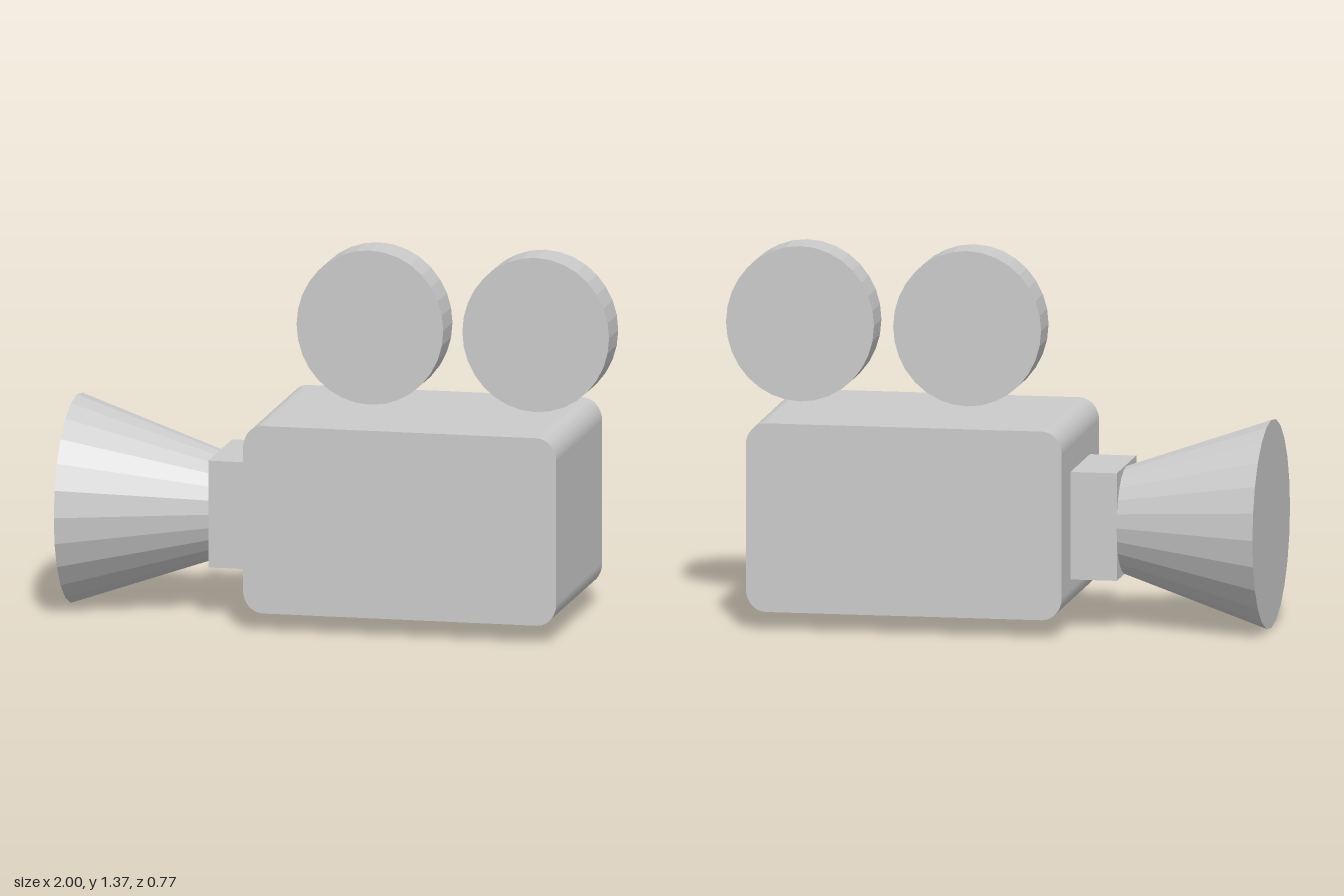
import * as THREE from 'three';

export function createModel() {
  const group = new THREE.Group();
  const smooth = new THREE.MeshStandardMaterial({ color: 0xcccccc });
  const faceted = new THREE.MeshStandardMaterial({ color: 0xcccccc, flatShading: true });

  function add(name, geometry, material, x, y, z) {
    const mesh = new THREE.Mesh(geometry, material);
    mesh.name = name;
    mesh.position.set(x, y, z);
    group.add(mesh);
    return mesh;
  }

  // Side outline of the body, rounded at its four long edges
  function roundedRect(w, h, rx, ry) {
    const points = [];
    const steps = 8;
    for (let corner = 0; corner < 4; corner++) {
      const sx = corner === 0 || corner === 3 ? 1 : -1;
      const sy = corner < 2 ? 1 : -1;
      for (let i = 0; i <= steps; i++) {
        const a = (corner + i / steps) * Math.PI / 2;
        points.push(new THREE.Vector2(
          sx * (w / 2 - rx) + rx * Math.cos(a),
          sy * (h / 2 - ry) + ry * Math.sin(a)));
      }
    }
    return new THREE.Shape(points);
  }

  // Camera body, with smooth normals around the rounded edges
  const w = 1.166, h = 0.695, depth = 0.764, rx = 0.073, ry = 0.083;
  const bodyGeometry = new THREE.ExtrudeGeometry(roundedRect(w, h, rx, ry), { depth, bevelEnabled: false });
  bodyGeometry.translate(0, 0, -depth / 2);
  const pos = bodyGeometry.attributes.position;
  const nor = bodyGeometry.attributes.normal;
  const n = new THREE.Vector3();
  for (let i = 0; i < pos.count; i++) {
    if (Math.abs(nor.getZ(i)) > 0.5) continue;
    const dx = Math.max(Math.abs(pos.getX(i)) - (w / 2 - rx), 0) * Math.sign(pos.getX(i));
    const dy = Math.max(Math.abs(pos.getY(i)) - (h / 2 - ry), 0) * Math.sign(pos.getY(i));
    n.set(dx / (rx * rx), dy / (ry * ry), 0).normalize();
    nor.setXYZ(i, n.x, n.y, n.z);
  }
  add('body', bodyGeometry, smooth, 0.289, 0.415, 0.006);

  // Square block joining lens and body
  add('lensMount', new THREE.BoxGeometry(0.18, 0.396, 0.396), faceted, -0.375, 0.388, 0.003);

  // Flared lens hood, wide end outwards
  const hood = add('lensHood', new THREE.CylinderGeometry(0.383, 0.197, 0.535, 24), faceted, -0.7325, 0.384, -0.003);
  hood.rotation.z = Math.PI / 2;

  // Two film reels hovering above the body
  const reelGeometry = new THREE.CylinderGeometry(1, 1, 0.153, 32);
  reelGeometry.rotateX(Math.PI / 2);
  reelGeometry.scale(0.273, 0.286, 1);
  add('frontReel', reelGeometry, faceted, 0.11, 1.081, 0.005);
  add('rearReel', reelGeometry, faceted, 0.727, 1.081, 0.005);

  return group;
}
